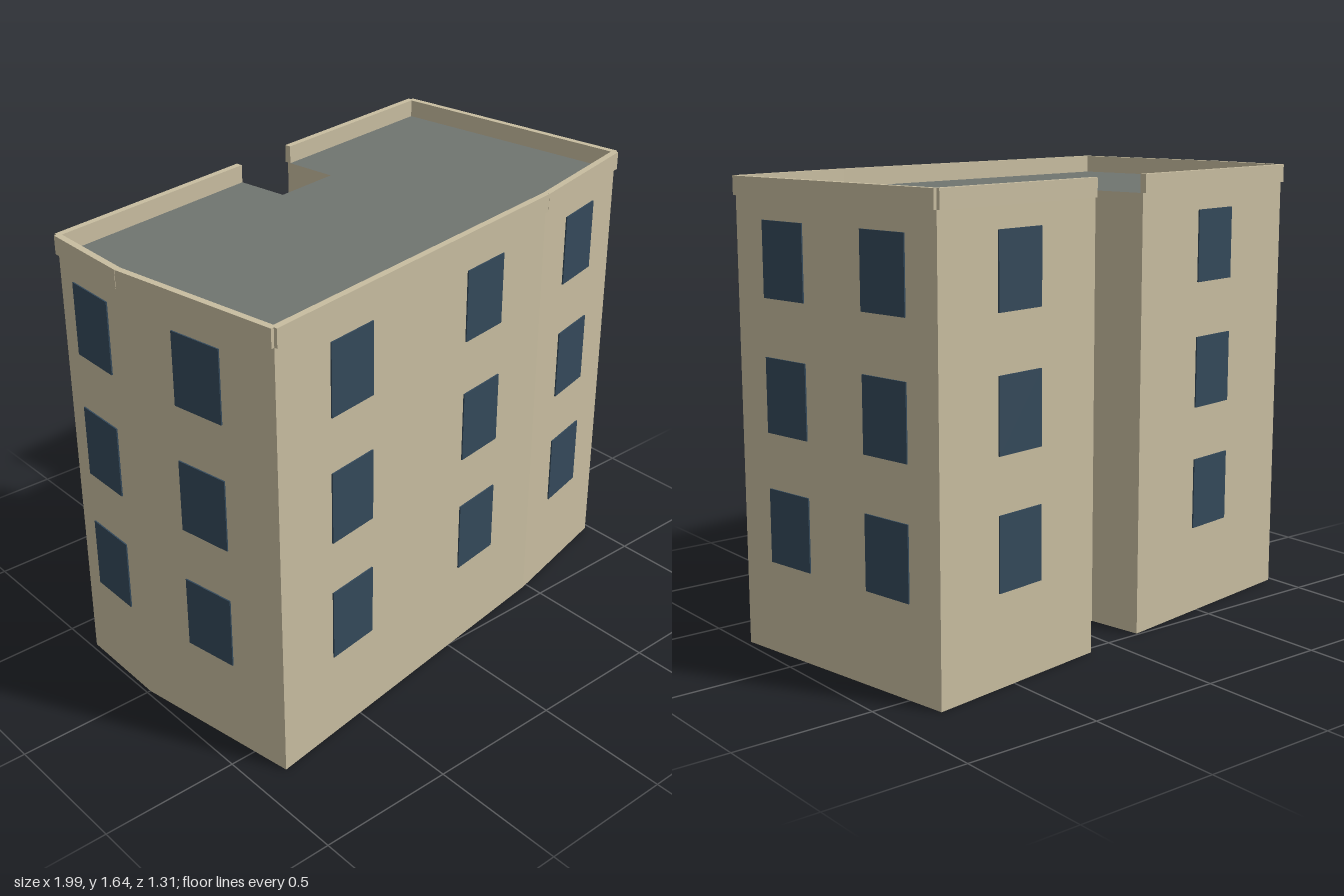
import * as THREE from 'three';

const WALL_TOP = 1.575, PARAPET_H = 0.065, PARAPET_T = 0.024;
const WINDOW = { w: 0.2, h: 0.26, d: 0.01 };
const FLOORS = [0.455, 0.91, 1.37];

// Footprint corners: x, z, window columns on the wall that starts here, parapet on that wall
const FOOTPRINT = [
  [-0.88, 0.64, 2, true],
  [0.48, 0.427, 1, true],
  [0.98, 0.302, 2, true],
  [0.833, -0.642, 1, true],
  [0.113, -0.533, 0, false],
  [0.145, -0.325, 0, false],
  [-0.108, -0.287, 0, false],
  [-0.142, -0.492, 1, true],
  [-0.982, -0.357, 1, true],
  [-0.987, 0.0, 1, true],
];

export function createModel() {
  const building = new THREE.Group();
  building.name = 'building';
  const wallMat = new THREE.MeshStandardMaterial({ color: 0xc8bda0 });
  const roofMat = new THREE.MeshStandardMaterial({ color: 0x707570 });
  const glassMat = new THREE.MeshStandardMaterial({ color: 0x34495a });

  // Solid body: grey roof and underside, tan walls
  const outline = new THREE.Shape(FOOTPRINT.map(([x, z]) => new THREE.Vector2(x, -z)));
  const bodyGeo = new THREE.ExtrudeGeometry(outline, { depth: WALL_TOP, bevelEnabled: false });
  bodyGeo.rotateX(-Math.PI / 2);
  const body = new THREE.Mesh(bodyGeo, [roofMat, wallMat]);
  body.name = 'wallsAndRoof';
  building.add(body);

  const windowGeo = new THREE.BoxGeometry(WINDOW.w, WINDOW.h, WINDOW.d);

  // Parapet and windows of each wall, in a frame with x along the wall and z outward
  FOOTPRINT.forEach(([x, z, columns, hasParapet], i) => {
    if (!hasParapet) return;
    const [nx, nz] = FOOTPRINT[(i + 1) % FOOTPRINT.length];
    const length = Math.hypot(nx - x, nz - z);
    const side = new THREE.Group();
    side.name = `wallSide${i + 1}`;
    side.position.set(x, 0, z);
    side.rotation.y = Math.atan2(z - nz, nx - x);
    building.add(side);

    const parapet = new THREE.Mesh(new THREE.BoxGeometry(length, PARAPET_H, PARAPET_T), wallMat);
    parapet.name = 'parapet';
    parapet.position.set(length / 2, WALL_TOP + PARAPET_H / 2, 0);
    side.add(parapet);

    for (let c = 0; c < columns; c++) {
      for (const y of FLOORS) {
        const pane = new THREE.Mesh(windowGeo, glassMat);
        pane.name = 'window';
        pane.position.set((length * (c + 0.5)) / columns, y, 0);
        side.add(pane);
      }
    }
  });

  return building;
}
